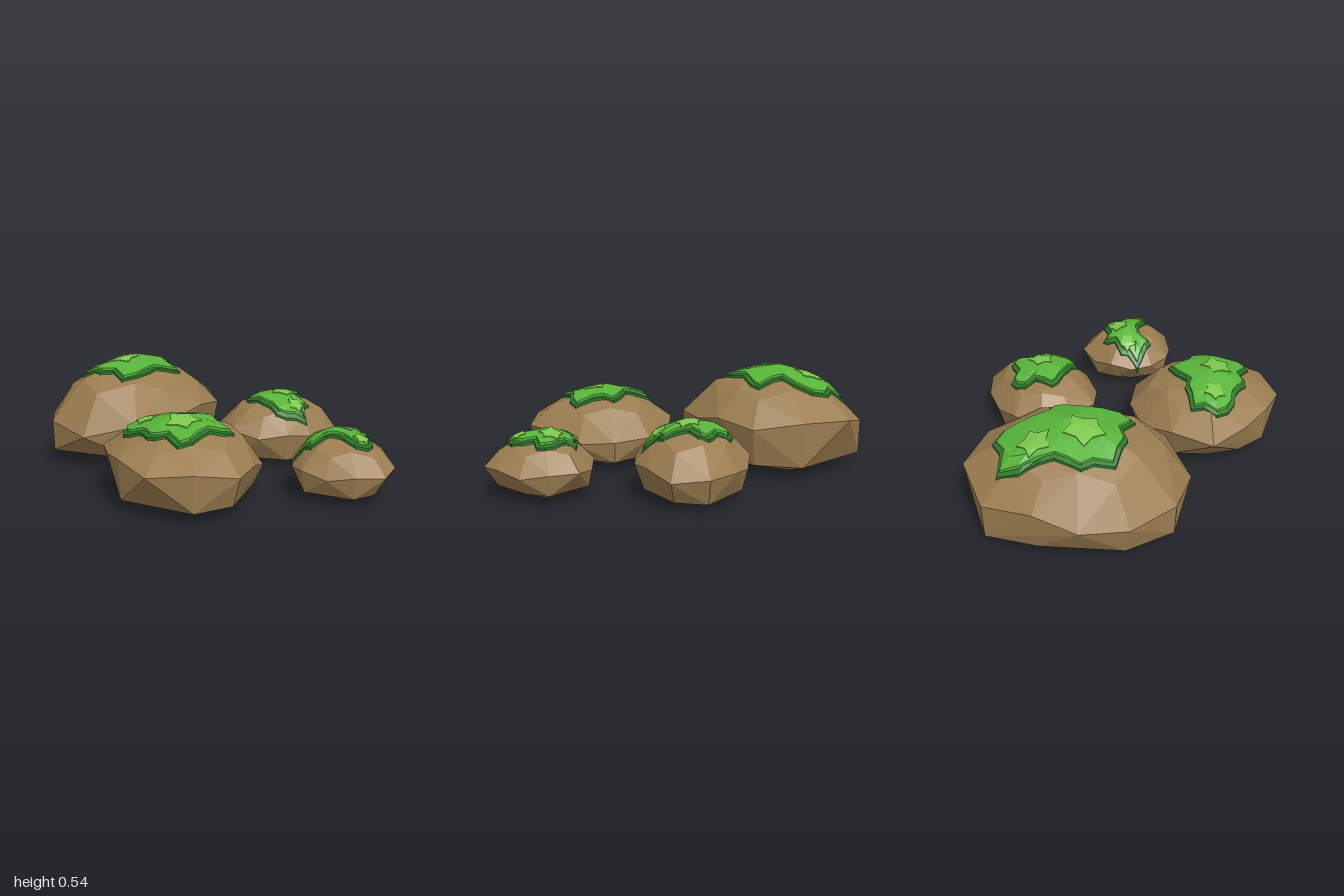
import * as THREE from 'three';
import { ConvexGeometry } from 'three/addons/geometries/ConvexGeometry.js';

const paint = (color) => new THREE.MeshStandardMaterial({ color, flatShading: true });
const stone = paint(0x9b7d50);
const mossDark = paint(0x2a762a), mossMid = paint(0x57b43a), mossLight = paint(0x7cc84c);

// Closed outline in x, z from radii at equal angles, turning from +x towards +z
function polar([cx, cz], radii, turn = 0) {
  return radii.map((r, i) => {
    const a = turn + (i * 2 * Math.PI) / radii.length;
    return [cx + r * Math.cos(a), cz + r * Math.sin(a)];
  });
}

// Faceted stone: convex skin over a foot, base, low, widest and shoulder rings and a peak
// low: scales of the odd and even corners and height of the ring under the widest one
function rockGeometry({ centre: [cx, cz], radii, top, peak, rim, tilt, low, base }) {
  const points = [new THREE.Vector3(peak[0], top, peak[1]), new THREE.Vector3(cx, 0, cz)];
  polar([cx, cz], radii).forEach(([x, z], i) => {
    const odd = i % 2 === 1;
    const ring = (k, y) => points.push(new THREE.Vector3(cx + (x - cx) * k, y, cz + (z - cz) * k));
    ring(1, rim + tilt * (z - cz) + 0.1 * rim * Math.sin(i * 2.4));
    if (i % 3 !== 2) ring(odd ? low[0] : low[1], low[2]);
    if (odd) ring(base, i % 4 === 1 ? 0.01 : 0.02);
    if (odd) ring(0.62, top * 0.845);
    else ring(0.74, top * 0.76);
    if (i % 3 === 0) ring(0.36, top * 0.945);
  });
  return new ConvexGeometry(points);
}

// Height of the convex stone's upper skin at any x, z
function heightOf(geometry) {
  const pos = geometry.attributes.position, planes = [];
  for (let i = 0; i < pos.count; i += 3) {
    const [a, b, c] = [0, 1, 2].map((k) => new THREE.Vector3().fromBufferAttribute(pos, i + k));
    const plane = new THREE.Plane().setFromCoplanarPoints(a, b, c);
    if (plane.normal.y > 0.05) planes.push(plane);
  }
  return (x, z) => Math.min(...planes.map(({ normal: m, constant }) => -(constant + m.x * x + m.z * z) / m.y));
}

// Move an outline inwards by d
function inset(outline, d) {
  const n = outline.length;
  return outline.map(([x, z], i) => {
    const p = outline[(i + n - 1) % n], q = outline[(i + 1) % n];
    const tx = q[0] - p[0], tz = q[1] - p[1], len = Math.hypot(tx, tz);
    return [x - (tz / len) * d, z + (tx / len) * d];
  });
}

// Slab draped over the stone in widening rings, with a skirt round the rim
function drape(outline, [cx, cz], height, lift, skirt, rings) {
  const n = outline.length, verts = [], index = [];
  for (let r = 0; r <= rings + 1; r++) {
    const k = Math.min(r / rings, 1), up = r > rings ? lift - skirt : lift;
    outline.forEach(([x, z]) => {
      const px = cx + (x - cx) * k, pz = cz + (z - cz) * k;
      verts.push(px, height(px, pz) + up, pz);
    });
  }
  for (let r = 0; r <= rings; r++) {
    for (let i = 0; i < n; i++) {
      const j = (i + 1) % n, a = r * n, b = a + n;
      index.push(a + i, b + j, b + i);
      if (r > 0) index.push(a + i, a + j, b + j);
    }
  }
  const g = new THREE.BufferGeometry();
  g.setAttribute('position', new THREE.Float32BufferAttribute(verts, 3));
  g.setIndex(index);
  g.computeVertexNormals();
  return g;
}

// One stone with moss in three layers: dark rim, green pad, bright star sprigs
function mossyRock(name, rock) {
  const group = new THREE.Group();
  group.name = name;
  const add = (part, geometry, material) => {
    const mesh = new THREE.Mesh(geometry, material);
    mesh.name = part;
    group.add(mesh);
  };
  const body = rockGeometry(rock), height = heightOf(body);
  add('stone', body, stone);
  const rim = polar(rock.peak, rock.moss);
  add('mossRim', drape(rim, rock.peak, height, 0.014, 0.03, 6), mossDark);
  add('mossPad', drape(inset(rim, 0.02), rock.peak, height, 0.026, 0.018, 6), mossMid);
  rock.sprigs.forEach(([x, z, r], i) => {
    const radii = Array.from({ length: 10 }, (_, k) => (k % 2 ? r * 0.65 : r));
    add('mossSprig', drape(polar([x, z], radii, 0.4 + i), [x, z], height, 0.031, 0.008, 3), mossLight);
  });
  return group;
}

export function createModel() {
  const model = new THREE.Group();
  model.name = 'mossyRocks';
  model.add(
    mossyRock('largeRock', {
      centre: [-0.57, 0.14], peak: [-0.6, 0.1], top: 0.515, rim: 0.25, tilt: -0.08, low: [0.99, 0.92, 0.07], base: 0.6,
      radii: [0.415, 0.505, 0.54, 0.51, 0.455, 0.415, 0.4, 0.495, 0.53, 0.5, 0.48, 0.42],
      moss: [0.205, 0.24, 0.3, 0.335, 0.26, 0.29, 0.285, 0.31, 0.25, 0.255, 0.21, 0.19,
        0.22, 0.29, 0.355, 0.305, 0.335, 0.3, 0.23, 0.17, 0.18, 0.25, 0.235, 0.21],
      sprigs: [[-0.75, 0.03, 0.08], [-0.6, 0.2, 0.1]],
    }),
    mossyRock('frontRock', {
      centre: [0.33, 0.4], peak: [0.3, 0.45], top: 0.385, rim: 0.2, tilt: 0.1, low: [0.97, 0.88, 0.06], base: 0.55,
      radii: [0.41, 0.405, 0.41, 0.365, 0.365, 0.45, 0.39, 0.385, 0.39, 0.4, 0.365, 0.345],
      moss: [0.225, 0.26, 0.26, 0.17, 0.185, 0.185, 0.165, 0.165, 0.205, 0.24, 0.265, 0.235,
        0.25, 0.185, 0.165, 0.13, 0.15, 0.19, 0.24, 0.21, 0.215, 0.285, 0.26, 0.22],
      sprigs: [[0.38, 0.45, 0.085], [0.18, 0.52, 0.055]],
    }),
    mossyRock('backRock', {
      centre: [0.03, -0.42], peak: [0.04, -0.42], top: 0.345, rim: 0.165, tilt: 0.03, low: [0.9, 0.84, 0.04], base: 0.5,
      radii: [0.275, 0.28, 0.295, 0.32, 0.316, 0.34, 0.295, 0.278, 0.298, 0.345, 0.335, 0.28],
      moss: [0.23, 0.205, 0.205, 0.19, 0.145, 0.14, 0.14, 0.145, 0.165, 0.18, 0.15, 0.145,
        0.19, 0.205, 0.2, 0.15, 0.165, 0.185, 0.165, 0.1, 0.1, 0.115, 0.17, 0.165],
      sprigs: [[0.05, -0.44, 0.07], [0.19, -0.41, 0.045]],
    }),
    mossyRock('smallRock', {
      centre: [0.71, -0.23], peak: [0.67, -0.23], top: 0.295, rim: 0.145, tilt: 0, low: [0.92, 0.78, 0.05], base: 0.5,
      radii: [0.285, 0.265, 0.245, 0.25, 0.236, 0.235, 0.24, 0.246, 0.28, 0.26, 0.26, 0.26],
      moss: [0.21, 0.18, 0.09, 0.075, 0.073, 0.08, 0.16, 0.16, 0.175, 0.205, 0.15, 0.15,
        0.125, 0.105, 0.13, 0.145, 0.11, 0.12, 0.15, 0.17, 0.17, 0.13, 0.17, 0.2],
      sprigs: [[0.68, -0.29, 0.06], [0.58, -0.18, 0.045], [0.83, -0.24, 0.04]],
    }),
  );
  return model;
}
